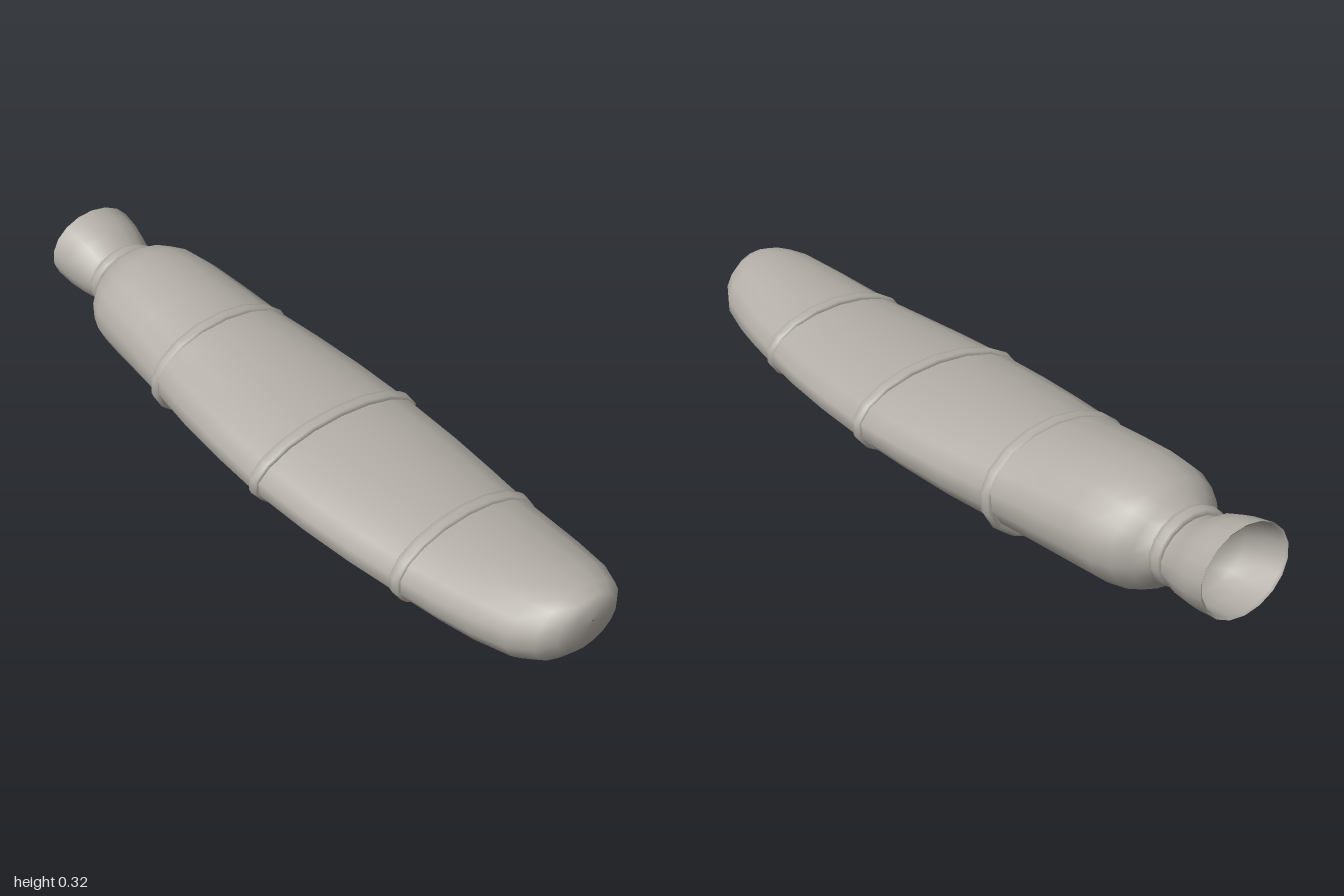
import * as THREE from 'three';

const SIDES = 18;

// Skin a row of oval rings running from +z to -z.
// Each ring: [z, half width, bottom y, top y, tilt in z]
function loft(rings, closed = false) {
  const pos = [], index = [], n = rings.length;
  for (const [z, w, y0, y1, tilt = 0] of rings) {
    for (let j = 0; j < SIDES; j++) {
      const a = (j / SIDES) * Math.PI * 2, c = Math.cos(a);
      pos.push((w / 0.985) * Math.sin(a), (y0 + y1) / 2 + ((y1 - y0) / 2) * c, z + tilt * c);
    }
  }
  for (let i = 0; i < (closed ? n : n - 1); i++) {
    for (let j = 0; j < SIDES; j++) {
      const k = (j + 1) % SIDES, r = i * SIDES, s = ((i + 1) % n) * SIDES;
      index.push(r + j, r + k, s + j, r + k, s + k, s + j);
    }
  }
  const g = new THREE.BufferGeometry();
  g.setAttribute('position', new THREE.Float32BufferAttribute(pos, 3));
  g.setIndex(index);
  g.computeVertexNormals();
  return g;
}

// Rope band with a rounded section; w, y0, y1 are its outer extents
function bandGeometry(z, w, y0, y1, tilt, rz, rr) {
  const rings = [];
  for (let i = 0; i < 8; i++) {
    const t = (i / 8) * Math.PI * 2, d = rr * (Math.sin(t) - 1);
    rings.push([z + rz * Math.cos(t), w + d, y0 - d, y1 + d, tilt]);
  }
  return loft(rings, true);
}

export function createModel() {
  const group = new THREE.Group();
  const cloth = new THREE.MeshStandardMaterial({ color: 0xb2ada6 });
  cloth.name = 'warm grey cloth';
  const inside = cloth;
  const add = (name, geometry, material = cloth) => {
    const m = new THREE.Mesh(geometry, material);
    m.name = name;
    group.add(m);
  };

  // Long padded body with rounded ends
  add('body', loft([
    [1.0, 0.002, 0.198, 0.202], [0.997, 0.05, 0.15, 0.238], [0.985, 0.092, 0.108, 0.254],
    [0.955, 0.13, 0.073, 0.264], [0.9, 0.16, 0.046, 0.267], [0.8, 0.183, 0.033, 0.258],
    [0.7, 0.199, 0.03, 0.247], [0.59, 0.213, 0.03, 0.238], [0.45, 0.232, 0.031, 0.238],
    [0.3, 0.246, 0.033, 0.243], [0.115, 0.254, 0.034, 0.252], [-0.05, 0.248, 0.032, 0.265],
    [-0.2, 0.236, 0.028, 0.277], [-0.36, 0.215, 0.026, 0.291], [-0.5, 0.202, 0.026, 0.312],
    [-0.62, 0.191, 0.027, 0.325], [-0.69, 0.182, 0.03, 0.324], [-0.74, 0.162, 0.038, 0.312],
    [-0.775, 0.133, 0.058, 0.292], [-0.8, 0.105, 0.09, 0.27], [-0.84, 0.1, 0.1, 0.262],
  ]));

  // Bands tied around the body
  add('frontBand', bandGeometry(0.59, 0.22, 0.019, 0.25, -0.005, 0.02, 0.012));
  add('middleBand', bandGeometry(0.113, 0.262, 0.021, 0.265, 0.009, 0.02, 0.012));
  add('rearBand', bandGeometry(-0.363, 0.224, 0.0, 0.301, 0.01, 0.02, 0.014));
  add('neckBand', bandGeometry(-0.82, 0.113, 0.09, 0.281, 0.006, 0.02, 0.014));

  // Flared hollow mouth behind the neck
  add('mouthOuter', loft([
    [-0.82, 0.1, 0.104, 0.264], [-0.85, 0.104, 0.095, 0.268], [-0.885, 0.117, 0.089, 0.296],
    [-0.93, 0.126, 0.09, 0.313, 0.004], [-0.99, 0.131, 0.101, 0.325, 0.01],
  ]));
  add('mouthInner', loft([
    [-0.99, 0.131, 0.101, 0.325, 0.01], [-0.985, 0.124, 0.107, 0.318, 0.01],
    [-0.93, 0.117, 0.1, 0.303, 0.004], [-0.89, 0.1, 0.108, 0.282],
    [-0.86, 0.06, 0.14, 0.24], [-0.85, 0.002, 0.19, 0.194],
  ]), inside);

  return group;
}
